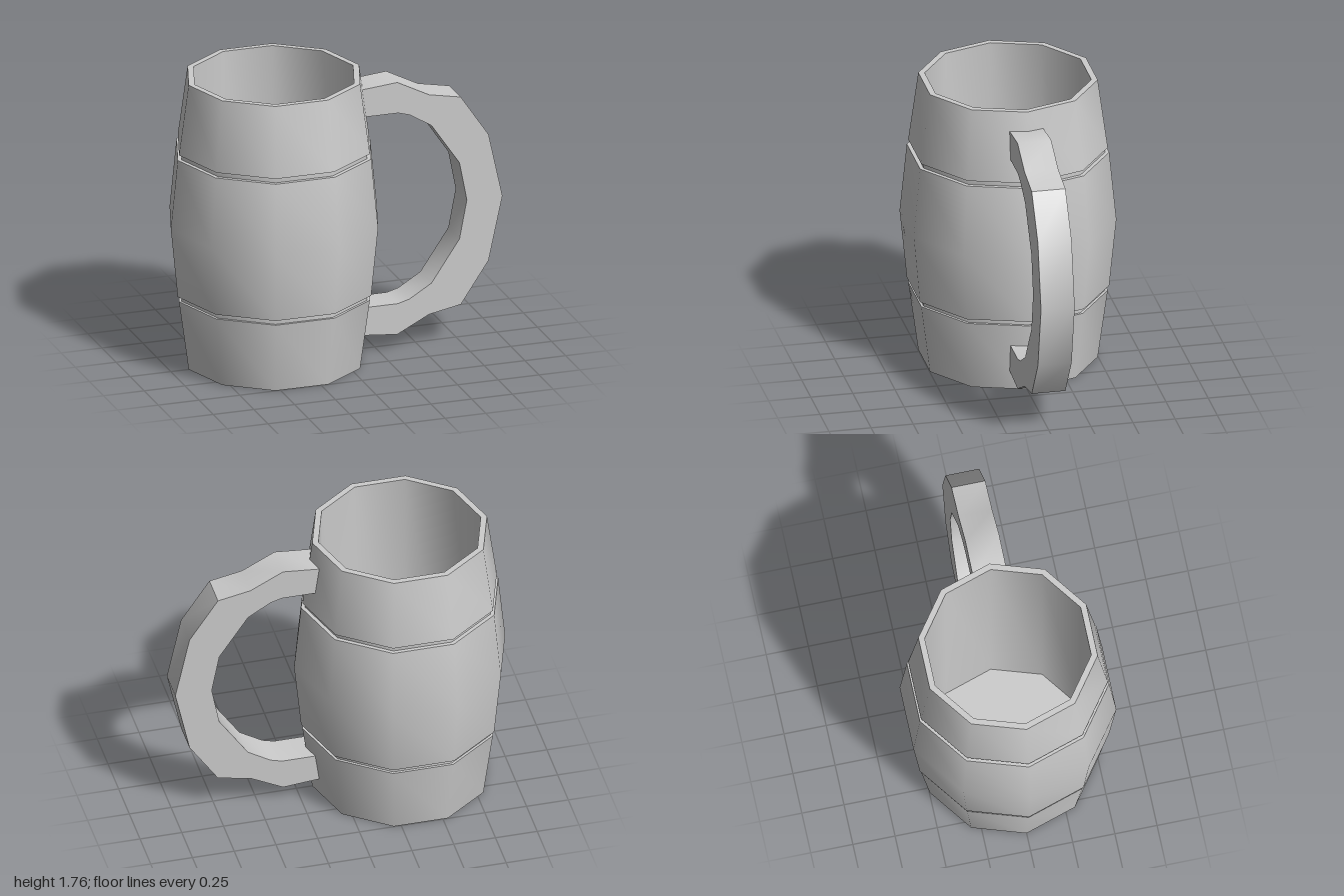
import * as THREE from 'three';
import { toCreasedNormals } from 'three/addons/utils/BufferGeometryUtils.js';

const HEIGHT = 1.76;
const material = new THREE.MeshStandardMaterial({ color: 0xcccccc });

function addPart(group, name, geometry) {
  const mesh = new THREE.Mesh(toCreasedNormals(geometry, 0.7), material);
  mesh.name = name;
  group.add(mesh);
  return mesh;
}

// Completes the lower half of a symmetric outline with its upper mirror image
function mirrorUp(points) {
  const upper = points.filter(([, y]) => y < HEIGHT / 2).map(([x, y]) => [x, HEIGHT - y]);
  return [...points, ...upper.reverse()];
}

export function createModel() {
  const group = new THREE.Group();
  group.name = 'barrelMug';

  // Ten-sided barrel wall with two grooves, a rim and a hollow inside
  const wall = mirrorUp([
    [0.523, 0], [0.582, 0.427], [0.566, 0.427], [0.566, 0.457],
    [0.59, 0.457], [0.632, 0.88],
  ]);
  const profile = [[0, 0], ...wall, [0.486, HEIGHT], [0.486, 0.07], [0, 0.07]]
    .map(([r, y]) => new THREE.Vector2(r, y));
  const barrel = addPart(group, 'barrel', new THREE.LatheGeometry(profile, 10, Math.PI / 2));
  barrel.position.x = -0.368;

  // Chunky angular handle, outer edge upwards and inner edge back down
  const outer = mirrorUp([
    [0.136, 0.12], [0.355, 0.1], [0.55, 0.2], [0.745, 0.238], [0.915, 0.49], [1, 0.88],
  ]);
  const inner = mirrorUp([
    [0.162, 0.29], [0.36, 0.29], [0.43, 0.31], [0.565, 0.392], [0.737, 0.645], [0.782, 0.88],
  ]).reverse();
  const outline = new THREE.Shape([...outer, ...inner].map(([x, y]) => new THREE.Vector2(x, y)));
  const handle = new THREE.ExtrudeGeometry(outline, { depth: 0.2, bevelEnabled: false });
  handle.translate(0, 0, -0.1);
  addPart(group, 'handle', handle);

  return group;
}
